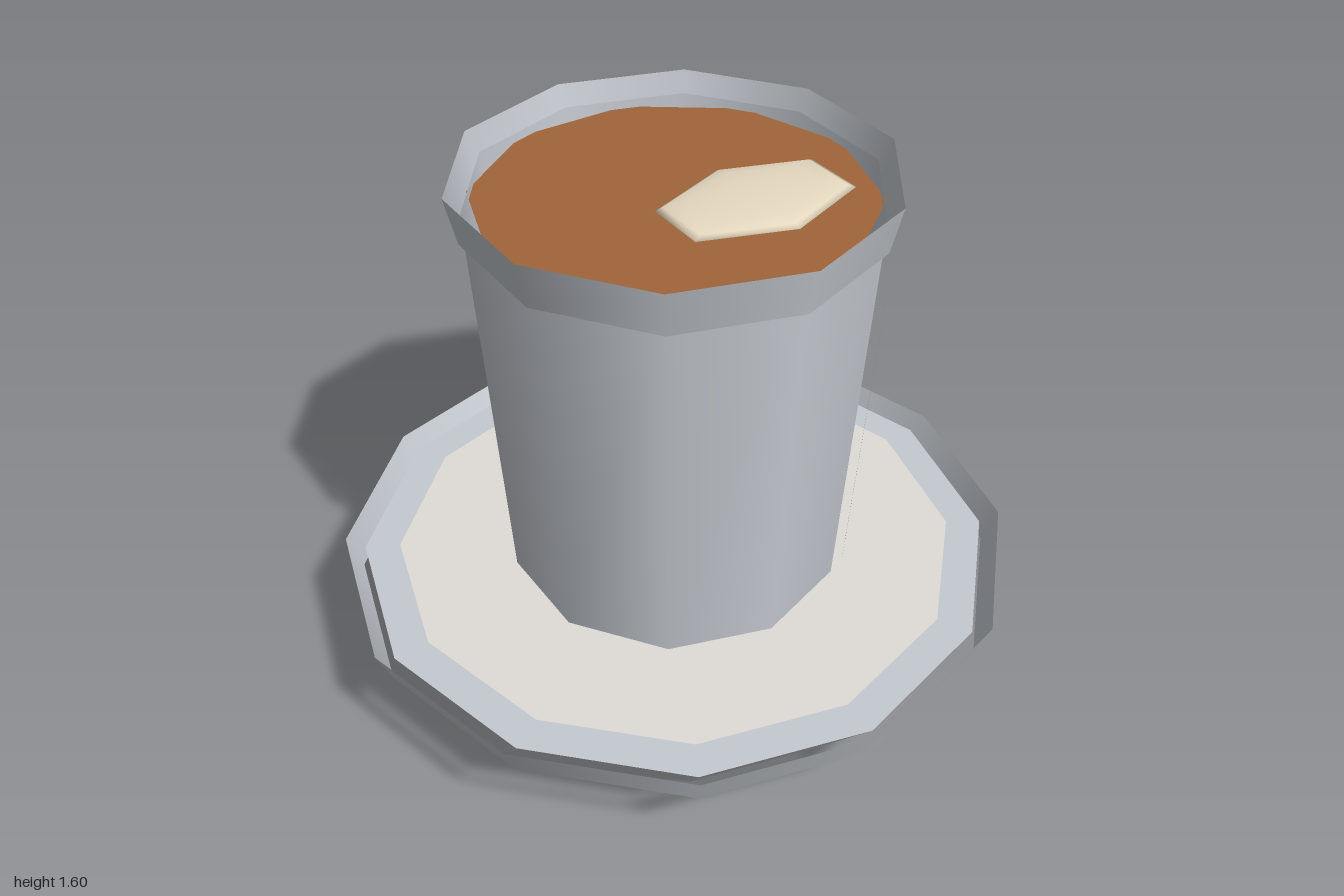
import * as THREE from 'three';

const material = (name, color, side = THREE.FrontSide) => {
  const m = new THREE.MeshStandardMaterial({ color, side });
  m.name = name;
  return m;
};

export function createModel() {
  const model = new THREE.Group();
  model.name = 'cupAndSaucer';

  const porcelain = material('porcelain', 0xc5cad1, THREE.DoubleSide);
  const cream = material('cream', 0xe0ddd7, THREE.DoubleSide);
  const paleBlue = material('paleBlue', 0xa4d4de, THREE.DoubleSide);
  const coffeeBrown = material('coffeeBrown', 0xa0653a);
  const foamCream = material('foamCream', 0xeee0c6);

  const add = (name, geometry, mat) => {
    const mesh = new THREE.Mesh(geometry, mat);
    mesh.name = name;
    model.add(mesh);
    return mesh;
  };

  // Tapered ring or frustum between two heights
  const frustum = (name, rBottom, rTop, y0, y1, sides, open) => {
    const geometry = new THREE.CylinderGeometry(rTop, rBottom, y1 - y0, sides, 1, open);
    geometry.translate(0, (y0 + y1) / 2, 0);
    return add(name, geometry, porcelain);
  };

  // Flat horizontal disc facing up
  const disc = (name, radius, y, sides, mat) => {
    const geometry = new THREE.CircleGeometry(radius, sides).rotateX(-Math.PI / 2);
    geometry.translate(0, y, 0);
    return add(name, geometry, mat);
  };

  // Saucer
  frustum('saucerBody', 0.675, 0.945, 0, 0.345, 12, false);
  frustum('saucerRim', 0.957, 1, 0.275, 0.38, 12, true);
  disc('saucerInlay', 0.84, 0.35, 12, cream);

  // Cup
  frustum('cupBody', 0.493, 0.565, 0.345, 1.545, 10, true);
  frustum('cupRim', 0.575, 0.605, 1.465, 1.6, 10, true);

  // Drink with an oval patch of foam
  disc('coffee', 0.55, 1.52, 10, coffeeBrown);
  const dome = new THREE.SphereGeometry(1, 6, 4, 0, Math.PI * 2, 0, Math.PI / 2);
  dome.rotateY(Math.PI / 2);
  const foam = add('foam', dome, foamCream);
  foam.scale.set(0.295, 0.025, 0.185);
  foam.position.set(0.163, 1.522, 0.135);

  // Painted stripes leaning with the cup wall
  const stripe = (name, width, degrees, mat) => {
    const angle = THREE.MathUtils.degToRad(degrees);
    const mesh = add(name, new THREE.PlaneGeometry(width, 0.99), mat);
    mesh.position.set(Math.sin(angle) * 0.544, 0.855, Math.cos(angle) * 0.544);
    mesh.rotation.set(0.06, angle, 0, 'YXZ');
  };
  stripe('wideStripe', 0.142, 45, cream);
  stripe('narrowStripe', 0.05, 69.7, paleBlue);

  return model;
}
